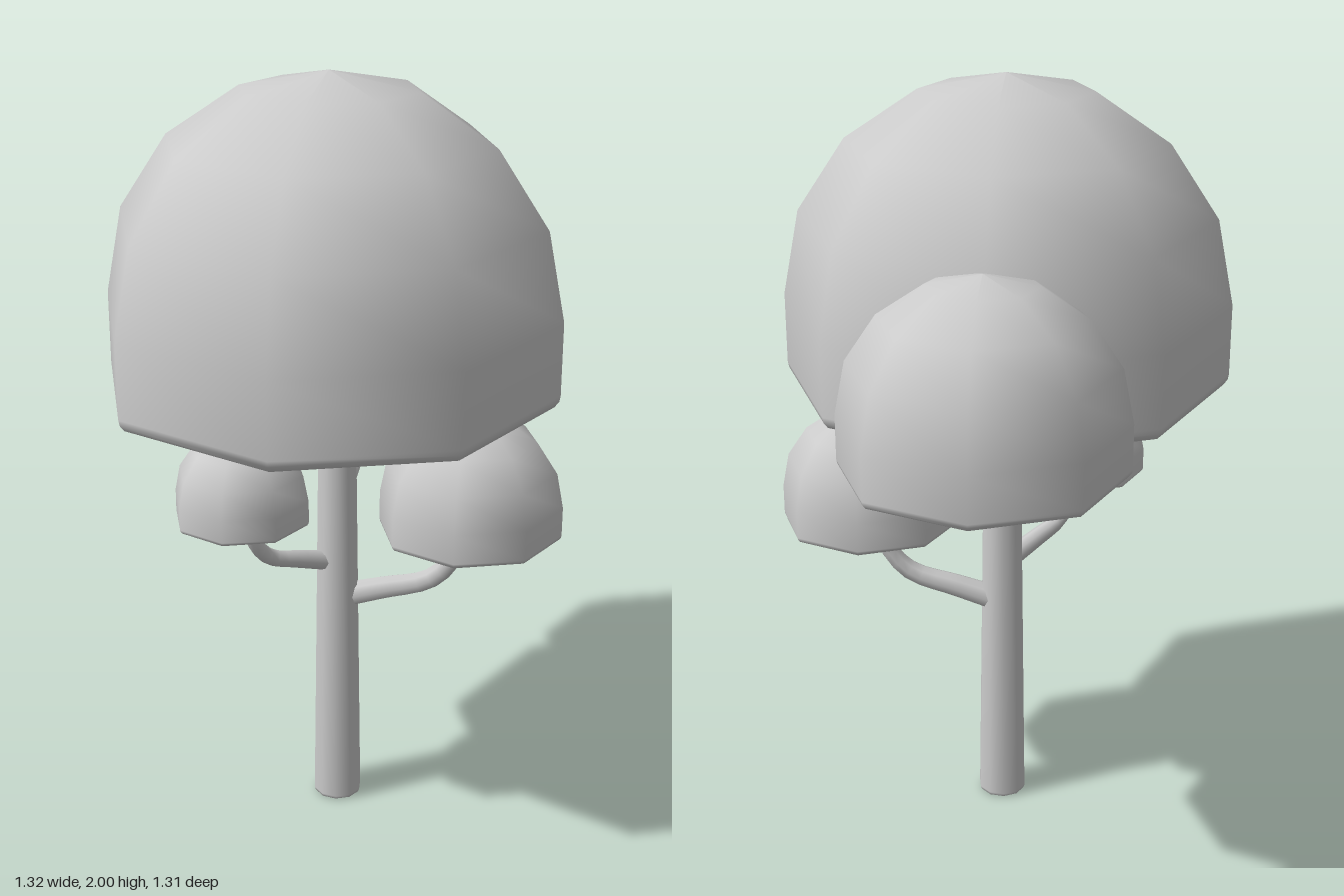
import * as THREE from 'three';

const material = new THREE.MeshStandardMaterial({ color: 0xcccccc });
const v2 = (x, y) => new THREE.Vector2(x, y);

// Unit-radius dome: flat underside, small rolled rim, short wall, hemisphere
function domeGeometry() {
  const points = [v2(0, 0), v2(0.92, 0), v2(0.945, 0.002), v2(0.975, 0.014), v2(0.995, 0.04), v2(1, 0.065)];
  for (let i = 0; i <= 4; i++) {
    const a = (i * Math.PI) / 8;
    points.push(v2(i === 4 ? 0 : Math.cos(a), 0.388 + Math.sin(a)));
  }
  return new THREE.LatheGeometry(points, 8);
}

// Round tube along a curve, its radius shrinking from r0 to r1
function taperedTube(points, r0, r1) {
  const curve = new THREE.CatmullRomCurve3(points.map((p) => new THREE.Vector3(...p)));
  const rings = 12, sides = 8;
  const geometry = new THREE.TubeGeometry(curve, rings, 1, sides);
  const pos = geometry.attributes.position;
  const vertex = new THREE.Vector3();
  for (let i = 0; i <= rings; i++) {
    const centre = curve.getPointAt(i / rings);
    const radius = THREE.MathUtils.lerp(r0, r1, i / rings);
    for (let j = 0; j <= sides; j++) {
      const k = i * (sides + 1) + j;
      vertex.fromBufferAttribute(pos, k).sub(centre).multiplyScalar(radius).add(centre);
      pos.setXYZ(k, vertex.x, vertex.y, vertex.z);
    }
  }
  return geometry;
}

export function createModel() {
  const tree = new THREE.Group();
  tree.name = 'tree';
  const add = (name, geometry) => {
    const mesh = new THREE.Mesh(geometry, material);
    mesh.name = name;
    tree.add(mesh);
    return mesh;
  };

  // Tapered trunk with a slightly rounded foot
  const trunk = [v2(0, 0), v2(0.056, 0), v2(0.062, 0.003), v2(0.065, 0.012), v2(0.048, 1.22), v2(0, 1.22)];
  add('trunk', new THREE.LatheGeometry(trunk, 10)).position.set(-0.03, 0, 0.03);

  // Foliage domes: name, radius, base centre
  const dome = domeGeometry();
  const foliage = [
    ['mainCrown', 0.58, [-0.08, 1.195, 0.075]],
    ['backCrown', 0.35, [0.308, 1.158, -0.307]],
    ['frontCrown', 0.238, [0.222, 0.815, 0.273]],
    ['sideCrown', 0.174, [-0.322, 0.89, 0.047]],
  ];
  for (const [name, radius, base] of foliage) {
    const crown = add(name, dome);
    crown.scale.setScalar(radius);
    crown.position.set(...base);
  }

  // Branches bending up from the trunk into the domes
  add('backBranch', taperedTube([
    [-0.02, 0.915, 0.02], [0.09, 0.95, -0.09], [0.21, 0.99, -0.21], [0.265, 1.06, -0.265], [0.3, 1.18, -0.3],
  ], 0.042, 0.026));
  add('frontBranch', taperedTube([
    [-0.02, 0.595, 0.03], [0.06, 0.63, 0.11], [0.15, 0.67, 0.2], [0.19, 0.73, 0.24], [0.215, 0.83, 0.265],
  ], 0.035, 0.021));
  add('sideBranch', taperedTube([
    [-0.05, 0.705, 0.03], [-0.15, 0.735, 0.035], [-0.24, 0.765, 0.04], [-0.285, 0.815, 0.044], [-0.317, 0.905, 0.047],
  ], 0.028, 0.016));

  return tree;
}
